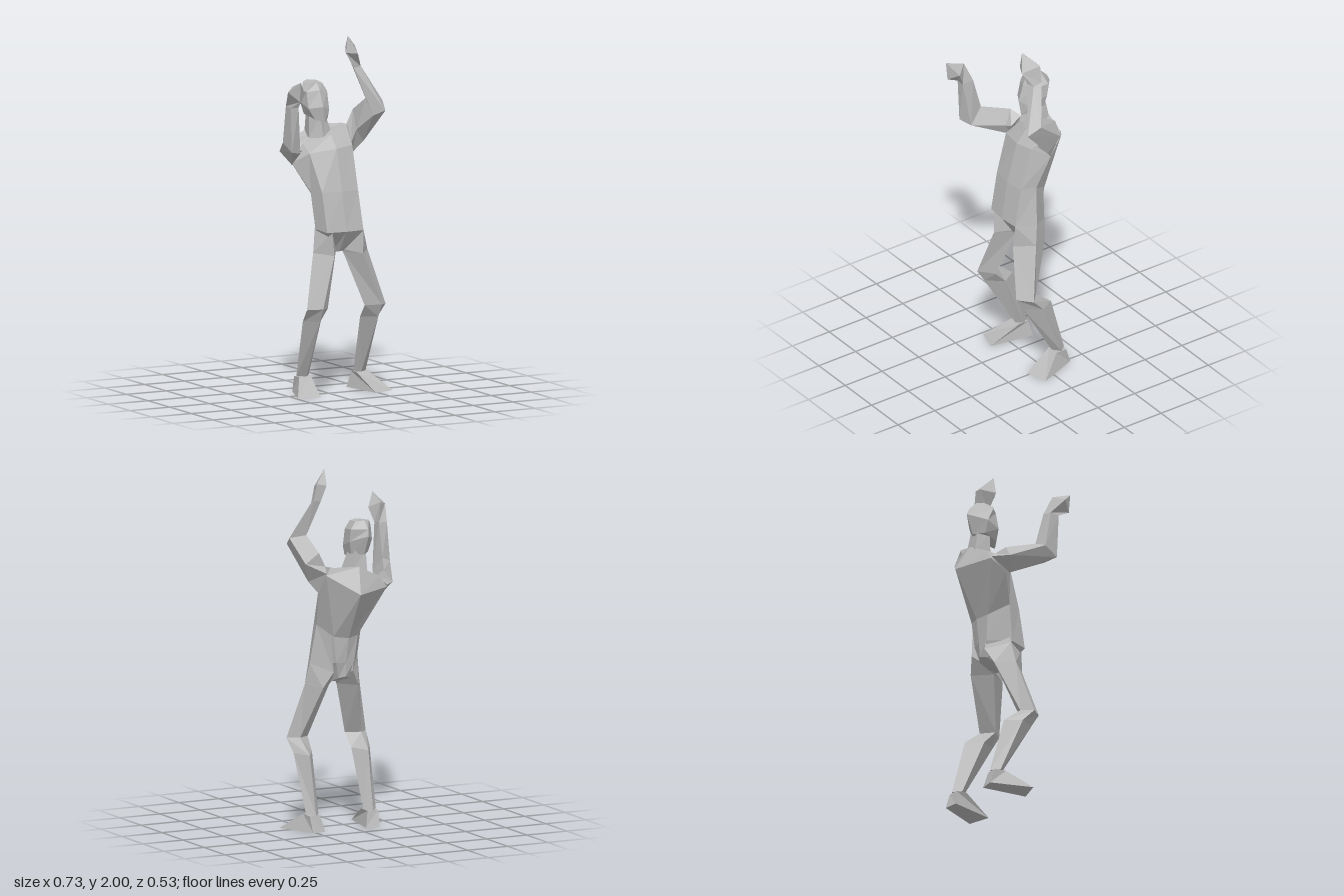
import * as THREE from 'three';

const grey = new THREE.MeshStandardMaterial({ color: 0xb8b8b8, flatShading: true });
grey.name = 'clay grey';

// Joins cross-sections of equal corner count into a closed faceted solid.
// A ring with a single point becomes a tip.
function loft(name, rings) {
  const n = Math.max(...rings.map((r) => r.length));
  const full = rings.map((r) => Array.from({ length: n }, (_, i) => new THREE.Vector3(...r[i % r.length])));
  const tris = [];
  const add = (a, b, c) => {
    const area = new THREE.Vector3().subVectors(b, a).cross(new THREE.Vector3().subVectors(c, a)).length();
    if (area > 1e-7) tris.push([a, b, c]);
  };
  for (let k = 0; k + 1 < full.length; k++) {
    for (let i = 0; i < n; i++) {
      const j = (i + 1) % n, lo = full[k], hi = full[k + 1];
      add(lo[i], lo[j], hi[j]);
      add(lo[i], hi[j], hi[i]);
    }
  }
  const cap = (ring, flip) => {
    const mid = ring.reduce((s, p) => s.add(p), new THREE.Vector3()).divideScalar(n);
    ring.forEach((p, i) => {
      const q = ring[(i + 1) % n];
      if (flip) add(mid, q, p); else add(mid, p, q);
    });
  };
  cap(full[0], true);
  cap(full[full.length - 1], false);

  // Turn all faces outward
  const volume = tris.reduce((s, [a, b, c]) => s + a.dot(new THREE.Vector3().crossVectors(b, c)), 0);
  if (volume < 0) tris.forEach((t) => t.reverse());

  const geometry = new THREE.BufferGeometry().setFromPoints(tris.flat());
  geometry.computeVertexNormals();
  const mesh = new THREE.Mesh(geometry, grey);
  mesh.name = name;
  return mesh;
}

// Reflects a ring across the plane x = sum / 2
const mirror = (ring, sum) => ring.map(([x, y, z]) => [sum - x, y, z]);

export function createModel() {
  const model = new THREE.Group();
  model.name = 'figure';

  // Torso: corners run front centre, left side, back centre, right side
  model.add(loft('torso', [
    [[.035, .80, .06], [.07, .80, .04], [.08, .81, 0], [.07, .84, -.07],
      [.035, .85, -.095], [0, .84, -.07], [-.01, .81, 0], [0, .80, .04]],
    [[.035, .92, .14], [.148, .92, .13], [.17, .93, .03], [.09, .93, -.09],
      [.035, .93, -.10], [-.02, .93, -.09], [-.10, .93, .03], [-.08, .92, .13]],
    [[.03, 1.14, .10], [.138, 1.14, .085], [.168, 1.14, 0], [.11, 1.08, -.095],
      [.03, 1.07, -.12], [-.04, 1.08, -.095], [-.115, 1.14, 0], [-.088, 1.14, .085]],
    [[.03, 1.37, .035], [.14, 1.38, .015], [.195, 1.33, -.08], [.188, 1.44, -.155],
      [.03, 1.335, -.265], [-.18, 1.35, -.175], [-.19, 1.29, -.08], [-.12, 1.35, 0]],
    [[.03, 1.44, -.03], [.15, 1.475, -.07], [.17, 1.48, -.10], [.16, 1.48, -.15],
      [0, 1.48, -.19], [-.14, 1.41, -.17], [-.15, 1.40, -.12], [-.115, 1.395, -.09]],
  ]));

  // Neck and head, leaning forward
  model.add(loft('neck', [
    [[-.01, 1.42, -.04], [.06, 1.46, -.09], [.04, 1.46, -.18], [-.05, 1.44, -.19], [-.07, 1.42, -.10]],
    [[-.015, 1.55, -.07], [.025, 1.56, -.10], [.015, 1.57, -.17], [-.05, 1.57, -.17], [-.07, 1.56, -.10]],
  ]));
  model.add(loft('head', [
    [[-.012, 1.51, -.025], [.02, 1.53, -.05], [.03, 1.55, -.15],
      [-.03, 1.545, -.19], [-.08, 1.55, -.14], [-.06, 1.53, -.05]],
    [[-.025, 1.60, -.018], [.03, 1.58, -.05], [.045, 1.62, -.16],
      [-.035, 1.655, -.235], [-.105, 1.62, -.14], [-.095, 1.59, -.06]],
    [[-.03, 1.69, -.05], [.03, 1.68, -.075], [.042, 1.69, -.17],
      [-.04, 1.69, -.22], [-.112, 1.69, -.11], [-.095, 1.68, -.08]],
    [[-.035, 1.73, -.075], [.005, 1.725, -.085], [.01, 1.73, -.16],
      [-.04, 1.735, -.175], [-.08, 1.73, -.15], [-.075, 1.725, -.085]],
  ]));

  // Right arm, reaching forward and bent up
  const rightElbow = [[-.275, 1.465, .06], [-.335, 1.44, .085], [-.325, 1.395, .17], [-.255, 1.38, .14]];
  const rightWrist = [[-.28, 1.655, .11], [-.335, 1.65, .12], [-.335, 1.645, .175], [-.285, 1.645, .175]];
  model.add(loft('rightUpperArm', [
    [[-.145, 1.405, -.12], [-.183, 1.36, -.172], [-.185, 1.28, -.08], [-.14, 1.365, -.05]],
    [[-.205, 1.43, -.09], [-.255, 1.36, -.10], [-.20, 1.285, -.06], [-.18, 1.35, -.04]],
    rightElbow,
  ]));
  model.add(loft('rightForearm', [rightElbow, rightWrist]));
  model.add(loft('rightHand', [
    rightWrist,
    [[-.31, 1.76, .15], [-.365, 1.74, .20], [-.32, 1.69, .255], [-.265, 1.725, .21]],
    [[-.32, 1.80, .265]],
  ]));

  // Left arm, raised overhead
  const leftElbow = [[.215, 1.64, .03], [.303, 1.625, .065], [.28, 1.58, .14], [.225, 1.55, .10]];
  const leftWrist = [[.15, 1.835, -.02], [.195, 1.835, -.015], [.185, 1.82, .03], [.135, 1.815, .04]];
  model.add(loft('leftUpperArm', [
    [[.165, 1.48, -.10], [.185, 1.45, -.155], [.19, 1.32, -.08], [.15, 1.38, -.02]],
    [[.205, 1.56, -.10], [.28, 1.50, -.085], [.235, 1.39, -.03], [.18, 1.46, -.01]],
    leftElbow,
  ]));
  model.add(loft('leftForearm', [leftElbow, leftWrist]));
  model.add(loft('leftHand', [
    leftWrist,
    [[.12, 1.92, -.03], [.175, 1.93, -.02], [.14, 1.90, .08], [.08, 1.905, .05]],
    [[.095, 2.0, .045]],
  ]));

  // Legs: corners run front, outer, back, inner; the thigh tapers up into the waist
  const knee = [[.235, .505, .185], [.297, .495, .11], [.24, .50, .055], [.166, .495, .11]];
  const ankle = [[.235, .095, -.055], [.28, .095, -.09], [.24, .09, -.135], [.203, .095, -.09]];
  const thigh = [
    [[.14, 1.13, .06], [.167, 1.14, 0], [.12, 1.08, -.08], [.10, 1.08, 0]],
    [[.148, .92, .13], [.20, .92, .02], [.11, .88, -.095], [.06, .81, .02]],
    [[.14, .79, .14], [.22, .80, .04], [.16, .79, -.065], [.073, .79, .03]],
    knee,
  ];
  const calf = [[.235, .43, .14], [.29, .42, .04], [.235, .415, -.05], [.175, .42, .04]];
  const foot = [
    [[.205, .095, -.06], [.28, .095, -.055], [.275, .09, -.125], [.21, .09, -.125]],
    [[.235, 0, .113], [.36, 0, .075], [.27, 0, -.155], [.19, 0, -.145]],
  ];
  model.add(loft('leftThigh', thigh), loft('leftShin', [knee, calf, ankle]), loft('leftFoot', foot));

  // The right foot stands slightly closer in than a plain reflection
  model.add(
    loft('rightThigh', thigh.map((r) => mirror(r, .1))),
    loft('rightShin', [mirror(knee, .1), mirror(calf, .105), mirror(ankle, .125)]),
    loft('rightFoot', foot.map((r) => mirror(r, .125))),
  );

  return model;
}
